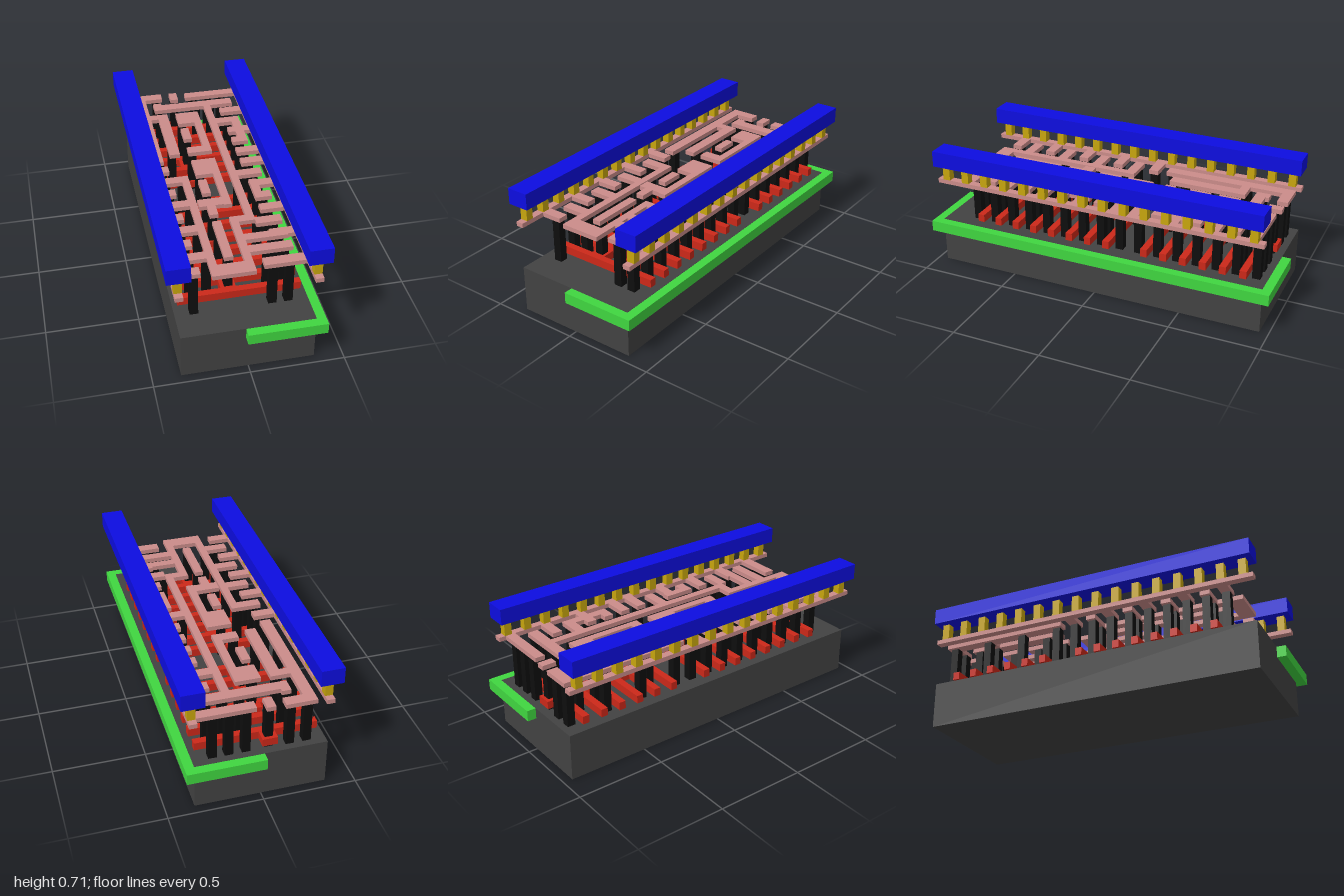
import * as THREE from 'three';

const mat = (color) => new THREE.MeshStandardMaterial({ color });
const M = {
  base: mat(0x424242), well: mat(0x40d640), gate: mat(0xcc2819), contact: mat(0x0e0e0e),
  wire: mat(0xcb8c8a), via: mat(0xc8a60e), rail: mat(0x0d0de0),
};

export function createModel() {
  const root = new THREE.Group();

  const layer = (name) => {
    const g = new THREE.Group();
    g.name = name;
    root.add(g);
    return g;
  };
  // Box given by its x, y and z limits
  const slab = (parent, name, m, x0, x1, y0, y1, z0, z1) => {
    const mesh = new THREE.Mesh(new THREE.BoxGeometry(x1 - x0, y1 - y0, z1 - z0), m);
    mesh.position.set((x0 + x1) / 2, (y0 + y1) / 2, (z0 + z1) / 2);
    mesh.name = name;
    parent.add(mesh);
  };

  const pitch = 0.1107;
  const gateZ = (i) => -0.835 + i * pitch;
  const rowZ = (k) => -0.89 + k * pitch;

  // Base block and the well let into its top
  slab(root, 'base', M.base, -0.35, 0.35, 0, 0.26, -0.95, 0.95);
  slab(root, 'well', M.well, -0.015, 0.4, 0.198, 0.2592, -1, 1);

  // Gate bars across the base; one position is left empty
  const gates = layer('gates');
  for (let i = 0; i < 15; i++) {
    if (i === 6) continue;
    slab(gates, 'gateBar', M.gate, -0.325, 0.325, 0.28, 0.324, gateZ(i) - 0.019, gateZ(i) + 0.019);
  }
  // Gate pads under the middle contacts
  const padSpans = [[-0.92, -0.82], [-0.67, -0.6], [-0.52, -0.385], [-0.32, -0.25], [-0.085, -0.02],
    [0.05, 0.19], [0.25, 0.32], [0.38, 0.51], [0.56, 0.73]];
  for (const [z0, z1] of padSpans) slab(gates, 'gatePad', M.gate, -0.093, -0.012, 0.2805, 0.3235, z0, z1);

  // Vertical contacts: rows between the gates, listed per column
  const contacts = layer('contacts');
  const post = (x, z) =>
    slab(contacts, 'contactPost', M.contact, x - 0.022, x + 0.022, 0.26, 0.502, z - 0.022, z + 0.022);
  const columns = [
    [-0.25, [0, 2, 4, 6, 7, 8, 9, 10, 11, 12, 13, 14, 15]],
    [-0.16, [0, 1, 2, 5, 8, 10, 12, 14]],
    [0.07, [0, 1]],
    [0.16, [0, 1, 8, 12, 14, 15]],
    [0.245, [0, 1, 2, 3, 4, 5, 6, 7, 8, 9, 10, 11, 12, 13, 14, 15]],
  ];
  for (const [x, rows] of columns) rows.forEach((k) => post(x, rowZ(k)));
  for (const z of [-0.88, -0.61, -0.45, -0.285, -0.055, 0.126, 0.287, 0.448, 0.667]) post(-0.05, z);

  // Lower metal: [x0, x1, z0, z1] of each strip
  const wiring = layer('lowerWiring');
  const wires = (name, list) =>
    list.forEach(([x0, x1, z0, z1]) => slab(wiring, name, M.wire, x0, x1, 0.502, 0.527, z0, z1));
  wires('supplyStrip', [[-0.372, -0.33, -0.95, 0.95], [0.33, 0.372, -0.95, 0.95]]);
  // Tabs reaching in from the supply strips
  for (const k of [7, 9, 11, 13, 15]) wires('leftTab', [[-0.34, -0.215, rowZ(k) - 0.028, rowZ(k) + 0.028]]);
  for (const k of [2, 4, 6, 7, 9, 11, 13]) wires('rightTab', [[0.2, 0.34, rowZ(k) - 0.028, rowZ(k) + 0.028]]);
  wires('rightTab', [[0.02, 0.34, -0.91, -0.855], [0.11, 0.34, 0.74, 0.8]]);
  // Back left loop
  wires('backLeftWire', [
    [-0.29, -0.23, -0.93, -0.19], [-0.29, -0.125, -0.93, -0.87],
    [-0.29, -0.125, -0.69, -0.64], [-0.185, -0.125, -0.69, -0.25],
  ]);
  // Long wire from the back to the front edge
  wires('longWire', [
    [-0.19, 0.29, -0.8, -0.74], [-0.19, -0.14, -0.82, -0.74], [0.11, 0.152, -0.74, 0.43],
    [0.02, 0.152, 0.38, 0.43], [0.02, 0.062, 0.38, 0.83], [-0.163, 0.062, 0.745, 0.83],
  ]);
  // Front left comb
  wires('frontLeftWire', [[-0.163, -0.122, -0.03, 0.83]]);
  for (const k of [8, 10, 12, 14]) wires('leftFinger', [[-0.29, -0.125, rowZ(k) - 0.028, rowZ(k) + 0.028]]);
  // Middle wires joining the gate contacts
  wires('middleWire', [
    [-0.075, 0.062, -0.685, -0.565], [0.02, 0.062, -0.685, -0.25], [-0.075, 0.062, -0.31, -0.25],
    [-0.075, 0.062, -0.175, -0.025], [0.02, 0.062, -0.175, 0.27], [-0.115, 0.062, 0.2, 0.265],
    [-0.075, -0.028, 0.2, 0.345],
  ]);
  // Short islands on single gate contacts
  wires('island', [[-0.075, -0.028, -0.925, -0.845], [-0.075, -0.028, -0.515, -0.395],
    [-0.075, -0.028, 0.02, 0.15], [-0.075, -0.028, 0.4, 0.7]]);
  // Right-hand wires
  wires('rightWire', [
    [0.245, 0.29, -0.58, -0.53], [0.15, 0.29, -0.585, -0.53], [0.2, 0.29, -0.365, -0.31],
    [0.24, 0.29, -0.58, -0.31], [0.15, 0.29, -0.03, 0.025], [0.2, 0.245, 0.07, 0.24],
    [0.2, 0.29, 0.19, 0.245], [0.15, 0.29, 0.41, 0.465], [0.062, 0.29, 0.63, 0.685],
    [0.062, 0.29, 0.535, 0.585],
  ]);

  // Top rails on rows of vias, mirrored
  const vias = layer('vias');
  for (const s of [-1, 1]) {
    for (let i = 0; i < 16; i++) {
      const z = 0.895 - i * 0.1193;
      slab(vias, 'via', M.via, s * 0.351 - 0.021, s * 0.351 + 0.021, 0.527, 0.617, z - 0.021, z + 0.021);
    }
    slab(root, s > 0 ? 'leftRail' : 'rightRail', M.rail,
      s * 0.351 - 0.061, s * 0.351 + 0.061, 0.617, 0.707, -0.95, 0.95);
  }
  return root;
}
